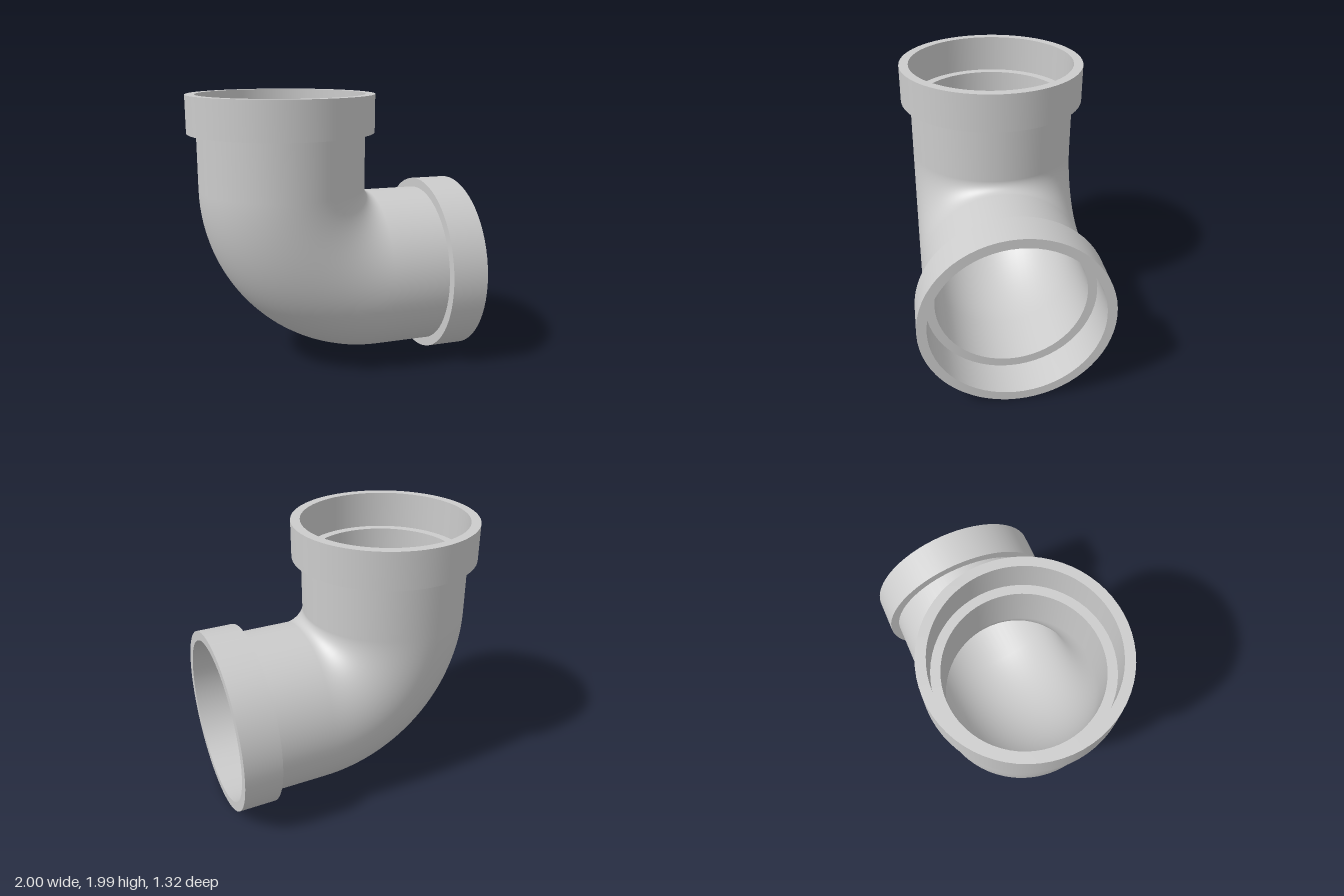
import * as THREE from 'three';
import { mergeGeometries } from 'three/addons/utils/BufferGeometryUtils.js';

const SEG = 64;
const COLLAR_R = 0.662;  // socket collar, outside
const PIPE_R = 0.595;    // pipe outside and socket inside
const BORE_R = 0.53;     // inner channel
const BEND_R = 0.662;    // centre line of the bend
const COLLAR_H = 0.265;
const PIVOT = [0.325, 1.325];

// Revolve each profile segment on its own so every corner stays sharp
function revolve(points) {
  const parts = [];
  for (let i = 0; i < points.length - 1; i++) {
    const pair = [points[i], points[i + 1]].map(([r, y]) => new THREE.Vector2(r, y));
    parts.push(new THREE.LatheGeometry(pair, SEG));
  }
  return mergeGeometries(parts);
}

// Straight hollow pipe from y = 0 ending in a stepped socket collar
function legGeometry(length) {
  const step = length - COLLAR_H;
  return revolve([
    [PIPE_R, 0], [PIPE_R, step],
    [COLLAR_R, step], [COLLAR_R, length],
    [PIPE_R, length], [PIPE_R, step],
    [BORE_R, step], [BORE_R, 0],
  ]);
}

export function createModel() {
  const group = new THREE.Group();
  group.name = 'pipeElbow';
  const material = new THREE.MeshStandardMaterial({ color: 0xcccccc, side: THREE.DoubleSide });

  const add = (name, geometry, x, y, rotZ) => {
    const mesh = new THREE.Mesh(geometry, material);
    mesh.name = name;
    mesh.position.set(x, y, 0);
    mesh.rotation.z = rotZ;
    group.add(mesh);
  };

  // Quarter bend: outer skin and inner channel
  for (const [name, r] of [['bendOuter', PIPE_R], ['bendBore', BORE_R]]) {
    add(name, new THREE.TorusGeometry(BEND_R, r, SEG, 32, Math.PI / 2), PIVOT[0], PIVOT[1], Math.PI);
  }

  // Upright and sideways legs with their sockets
  add('upperLeg', legGeometry(0.665), PIVOT[0] - BEND_R, PIVOT[1], 0);
  add('sideLeg', legGeometry(0.675), PIVOT[0], PIVOT[1] - BEND_R, -Math.PI / 2);

  return group;
}
